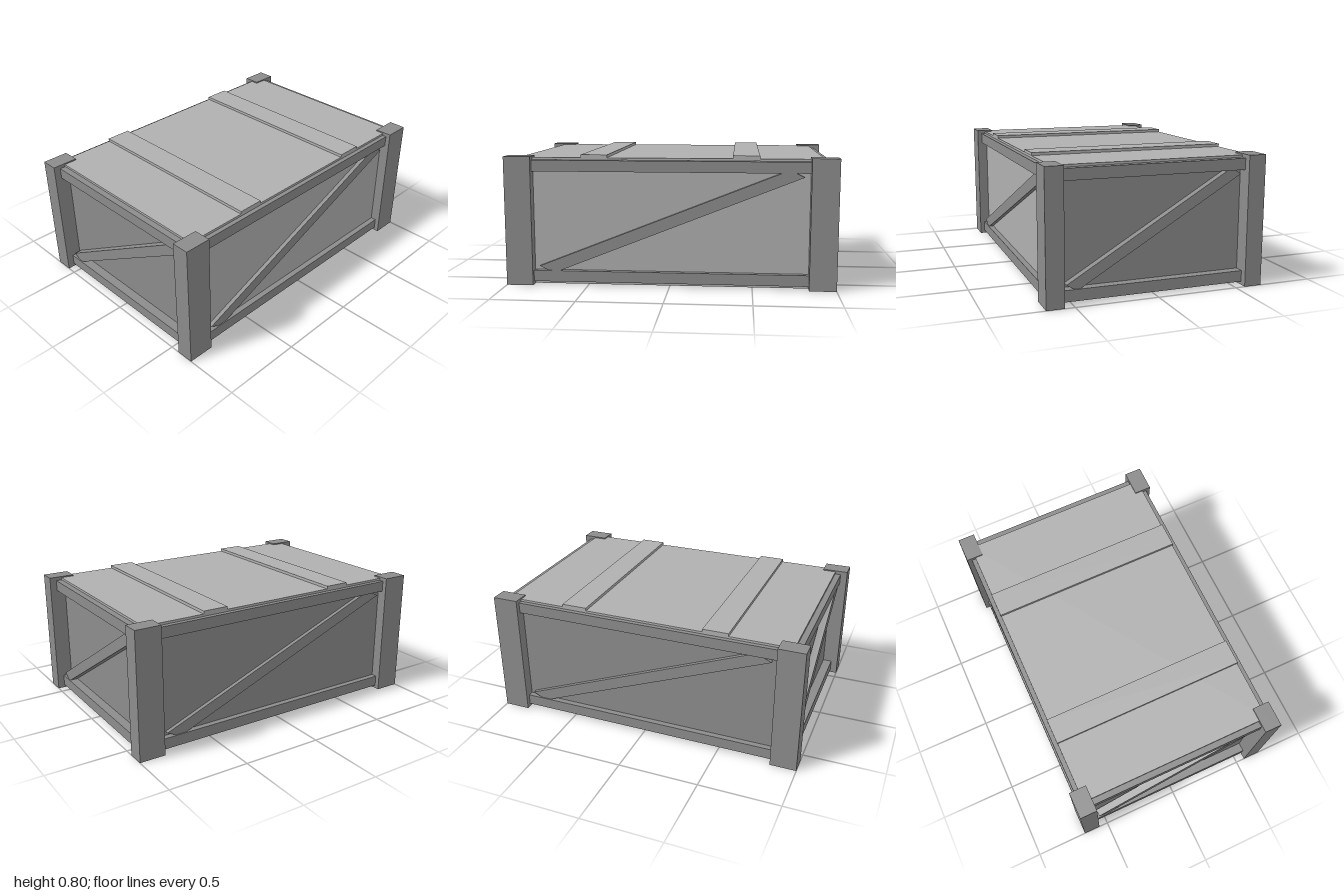
import * as THREE from 'three';

const POST_H = 0.79, LID_Y = 0.768;

export function createModel() {
  const crate = new THREE.Group();
  crate.name = 'crate';
  const frameMat = new THREE.MeshStandardMaterial({ color: 0x8c8c8c, side: THREE.DoubleSide });
  frameMat.name = 'frame grey';
  const panelMat = new THREE.MeshStandardMaterial({ color: 0xb0b0b0, side: THREE.DoubleSide });
  panelMat.name = 'panel grey';

  const add = (parent, name, geometry, material, x = 0, y = 0, z = 0) => {
    const mesh = new THREE.Mesh(geometry, material);
    mesh.name = name;
    mesh.position.set(x, y, z);
    parent.add(mesh);
    return mesh;
  };

  // Box with its underside left open
  const openBox = (w, h, d) => {
    const g = new THREE.BoxGeometry(w, h, d);
    const index = Array.from(g.index.array);
    index.splice(18, 6);
    g.setIndex(index);
    g.clearGroups();
    return g;
  };

  // Corner posts, hollow from below
  for (const sx of [-1, 1]) for (const sz of [-1, 1]) {
    add(crate, 'cornerPost', openBox(0.163, POST_H, 0.108), frameMat,
      sx * 0.9185, POST_H / 2, sz * 0.613);
  }

  // One wall, built facing +z: panel, two rails and a slanted brace
  const wall = (name, angle, w) => {
    const group = new THREE.Group();
    group.name = name;
    group.rotation.y = angle;
    add(group, 'panel', new THREE.PlaneGeometry(w.half * 2, LID_Y), w.panel, 0, LID_Y / 2, w.inner);
    for (const [railName, y] of [['lowerRail', 0.054], ['upperRail', 0.733]]) {
      add(group, railName, new THREE.BoxGeometry(w.rail * 2, 0.068, w.outer - w.inner), frameMat,
        0, y, (w.outer + w.inner) / 2);
    }
    const shape = new THREE.Shape(w.brace.map(([x, y]) => new THREE.Vector2(x, y)));
    const depth = w.outer - w.inner - 0.01;
    add(group, 'brace', new THREE.ExtrudeGeometry(shape, { depth, bevelEnabled: false }), frameMat,
      0, 0, w.inner + 0.003);
    crate.add(group);
  };

  const long = {
    half: 0.9, rail: 0.837, inner: 0.602, outer: 0.638,
    brace: [[-0.8, 0.115], [-0.714, 0.072], [0.8, 0.675], [0.714, 0.718]],
  };
  const short = {
    half: 0.602, rail: 0.56, inner: 0.9, outer: 0.957, panel: frameMat,
    brace: [[-0.535, 0.115], [-0.473, 0.076], [0.535, 0.675], [0.473, 0.714]],
  };
  wall('frontWall', 0, { ...long, panel: panelMat });
  wall('backWall', Math.PI, { ...long, panel: frameMat });
  wall('leftWall', Math.PI / 2, short);
  wall('rightWall', -Math.PI / 2, short);

  // Lid with two cross battens; the crate is open underneath
  add(crate, 'lid', new THREE.BoxGeometry(1.84, 0.014, 1.222), panelMat, 0, 0.775, 0);
  for (const s of [-1, 1]) {
    add(crate, 'lidBatten', openBox(0.16, 0.018, 1.226), panelMat, s * 0.457, 0.791, 0);
  }
  return crate;
}
